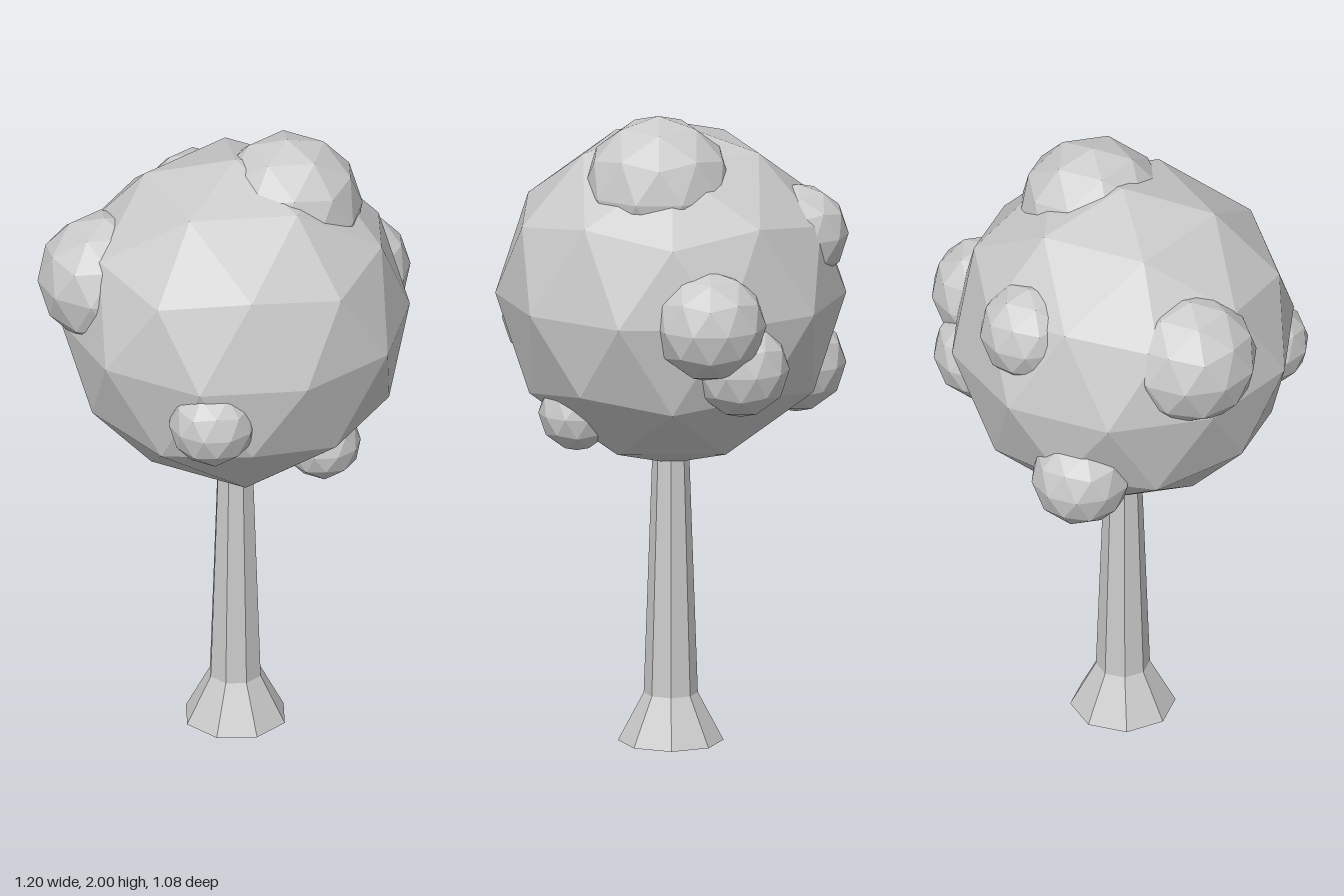
import * as THREE from 'three';

const CENTRE_X = -0.022;
const material = new THREE.MeshStandardMaterial({ color: 0xcccccc, flatShading: true });

// Low-poly ball with a vertex at its top
function foliageBall(name, x, y, z, radius, yaw = 0) {
  const geometry = new THREE.IcosahedronGeometry(radius, 1);
  geometry.rotateZ(-Math.atan(2 / (1 + Math.sqrt(5))));
  geometry.rotateY(yaw);
  const mesh = new THREE.Mesh(geometry, material);
  mesh.name = name;
  mesh.position.set(x, y, z);
  return mesh;
}

export function createModel() {
  const tree = new THREE.Group();
  tree.name = 'tree';

  // Eight-sided trunk with a flared foot, running up into the crown
  const profile = [[0, 0], [0.162, 0], [0.083, 0.15], [0.056, 0.92], [0, 0.92]]
    .map(([r, y]) => new THREE.Vector2(r, y));
  const trunk = new THREE.Mesh(new THREE.LatheGeometry(profile, 8), material);
  trunk.name = 'trunk';
  trunk.position.x = CENTRE_X;
  tree.add(trunk);

  // Main crown
  tree.add(foliageBall('crown', CENTRE_X, 1.41, 0, 0.538));

  // Smaller leaf clumps half sunk into the crown: name, x, y, z, radius
  const clumps = [
    ['topClump', 0.135, 1.77, 0.04, 0.232],
    ['rightUpperClump', -0.405, 1.56, -0.125, 0.207],
    ['leftClump', 0.43, 1.41, -0.115, 0.173],
    ['leftLowerClump', 0.37, 1.26, -0.21, 0.15],
    ['frontClump', -0.27, 1.275, 0.38, 0.135],
    ['frontLowerClump', 0.14, 1.07, 0.29, 0.118],
    ['backUpperClump', 0.02, 1.605, -0.39, 0.155],
    ['backLowerClump', -0.185, 1.15, -0.385, 0.155],
  ];
  for (const clump of clumps) tree.add(foliageBall(...clump));

  return tree;
}
